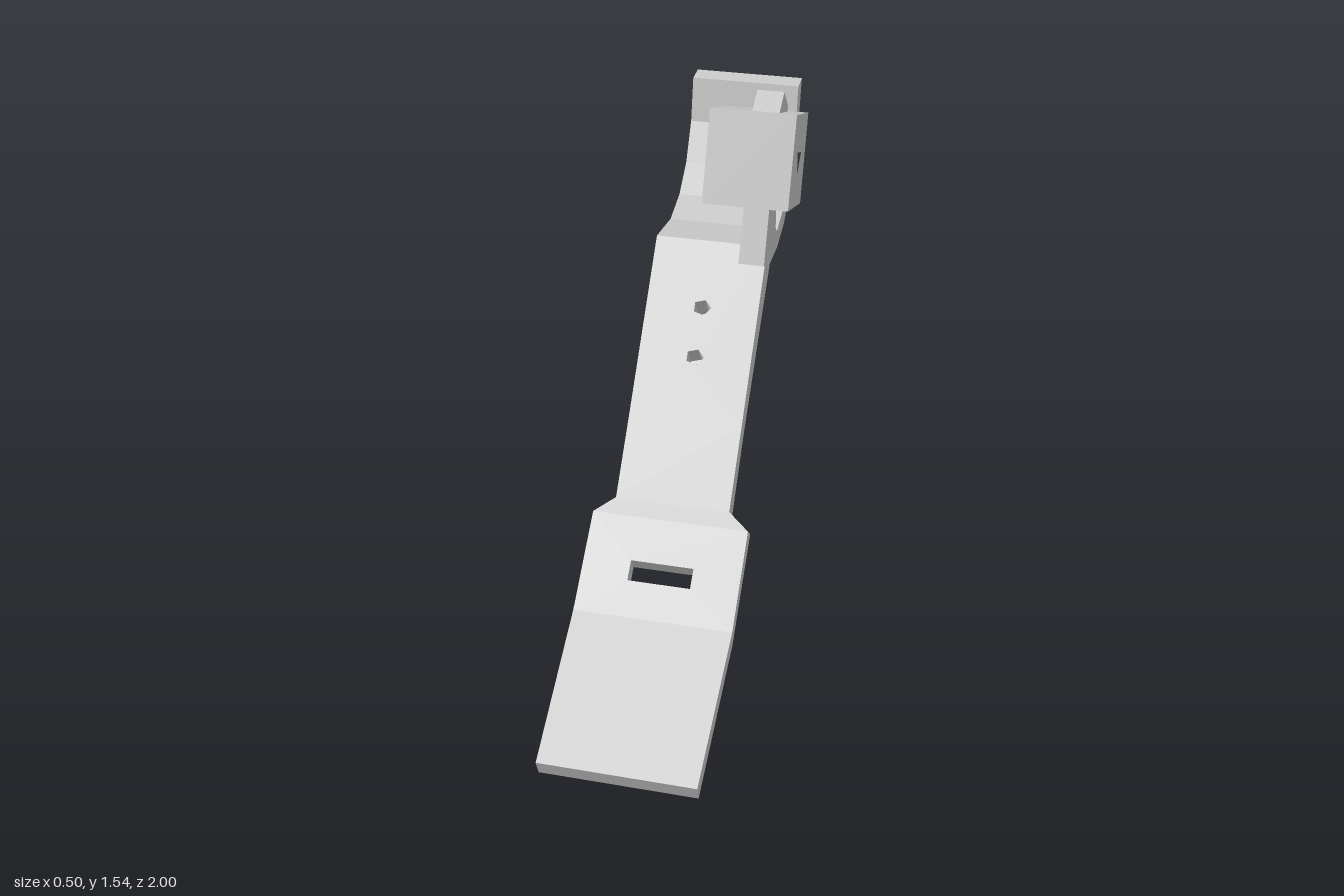
import * as THREE from 'three';

const material = new THREE.MeshStandardMaterial({ color: 0xcccccc, flatShading: true });
const lerp = THREE.MathUtils.lerp;
const path = (pts, Type = THREE.Shape) => new Type(pts.map(p => new THREE.Vector2(p[0], p[1])));

function makeMesh(geometry, name) {
  geometry.computeVertexNormals();
  const mesh = new THREE.Mesh(geometry, material);
  mesh.name = name;
  return mesh;
}

function extrude(points, holes, depth) {
  const shape = path(points);
  shape.holes = holes.map(h => path(h, THREE.Path));
  return new THREE.ExtrudeGeometry(shape, { depth, bevelEnabled: false });
}

// Plate between two stations { top: [z, y], bottom: [z, y], w: half width }.
// Holes are given as [x, u], with u running 0..1 from station a to station b.
function slab(name, a, b, holes = [], bottomScale = 1) {
  const geometry = extrude([[-a.w, 0], [a.w, 0], [b.w, 1], [-b.w, 1]], holes, 1);
  const pos = geometry.attributes.position;
  for (let i = 0; i < pos.count; i++) {
    const x = pos.getX(i), u = pos.getY(i), d = pos.getZ(i);
    const at = k => lerp(lerp(a.bottom[k], b.bottom[k], u), lerp(a.top[k], b.top[k], u), d);
    pos.setXYZ(i, x * lerp(bottomScale, 1, d), at(1), at(0));
  }
  return makeMesh(geometry, name);
}

// Side profile of [z, y] points extruded from x0 to x1
function sideExtrude(name, points, x0, x1, holes = []) {
  const flip = pts => pts.map(([z, y]) => [-z, y]);
  const geometry = extrude(flip(points), holes.map(flip), x1 - x0);
  geometry.rotateY(Math.PI / 2).translate(x0, 0, 0);
  return makeMesh(geometry, name);
}

// Five-sided screw hole in a plate's [x, u] space
function screwHole(u, rx, ru) {
  return Array.from({ length: 5 }, (_, i) => {
    const t = i / 5 * Math.PI * 2;
    return [rx * Math.cos(t), u + ru * Math.sin(t)];
  });
}

export function createModel() {
  const model = new THREE.Group();
  model.name = 'hookedBracket';

  // Strap and hook: one chain of plates from the foot to the hook tip
  const station = (top, bottom, w = 0.183) => ({ top, bottom, w });
  const stations = [
    station([1.0, 0.06], [0.98, 0], 0.243),
    station([0.53, 0.25], [0.52, 0.19], 0.252),
    station([0.275, 0.445], [0.23, 0.40], 0.25),
    station([0.24, 0.485], [0.19, 0.425]),
    station([0.044, 0.685], [0, 0.63]),
    station([-0.36, 1.11], [-0.42, 1.015]),
    station([-0.56, 1.07], [-0.57, 1.0]),
    station([-0.70, 1.095], [-0.70, 1.02]),
    station([-0.81, 1.165], [-0.86, 1.11]),
    station([-0.89, 1.285], [-0.945, 1.215]),
    station([-0.925, 1.43], [-1.0, 1.43]),
  ];
  const names = ['foot', 'slottedPlate', 'shoulder', 'lowerStrap', 'upperStrap', 'hookBase',
    'hookCurve1', 'hookCurve2', 'hookCurve3', 'hookTip'];
  const plateHoles = {
    slottedPlate: [[[-0.1, 0.36], [0.1, 0.36], [0.1, 0.56], [-0.1, 0.56]]],
    upperStrap: [screwHole(0.34, 0.03, 0.045), screwHole(0.62, 0.03, 0.045)],
  };
  names.forEach((name, i) => {
    model.add(slab(name, stations[i], stations[i + 1], plateHoles[name]));
  });

  // Raised pad under the strap, ramped at its lower end
  const padStart = station([-0.06, 0.69], [-0.11, 0.67], 0.115);
  const padEnd = station([-0.42, 1.015], [-0.44, 0.97], 0.115);
  const rampStart = station([0, 0.632], [0, 0.628], 0.115);
  const padHoles = [0.2, 0.5].map(u => screwHole(u, 0.03, 0.05));
  model.add(slab('pad', padStart, padEnd, padHoles, 0.8));
  model.add(slab('padRamp', rampStart, padStart, [], 0.8));

  // Neck rising from one side of the strap
  model.add(sideExtrude('neck', [
    [-0.30, 1.07], [-0.375, 1.24], [-0.52, 1.19], [-0.52, 1.10], [-0.56, 1.05],
    [-0.56, 1.005], [-0.42, 1.02],
  ], 0.1, 0.183));

  // Tilted hollow box, open on one side, with a triangular hole in the closed side
  const box = [[-0.375, 1.235], [-0.495, 1.515], [-0.76, 1.41], [-0.65, 1.13]];
  const centre = [-0.57, 1.3225];
  const inner = box.map(p => p.map((v, k) => lerp(centre[k], v, 0.83)));
  const triangle = [[-0.536, 1.367], [-0.622, 1.33], [-0.552, 1.287]];
  const holder = new THREE.Group();
  holder.name = 'boxHolder';
  holder.add(
    sideExtrude('boxWalls', box, -0.037, 0.215, [inner]),
    sideExtrude('boxEnd', box, 0.215, 0.243, [triangle]),
    sideExtrude('boxRidge', [[-0.51, 1.50], [-0.61, 1.54], [-0.70, 1.455], [-0.69, 1.43]], 0.095, 0.183),
  );
  model.add(holder);
  return model;
}
